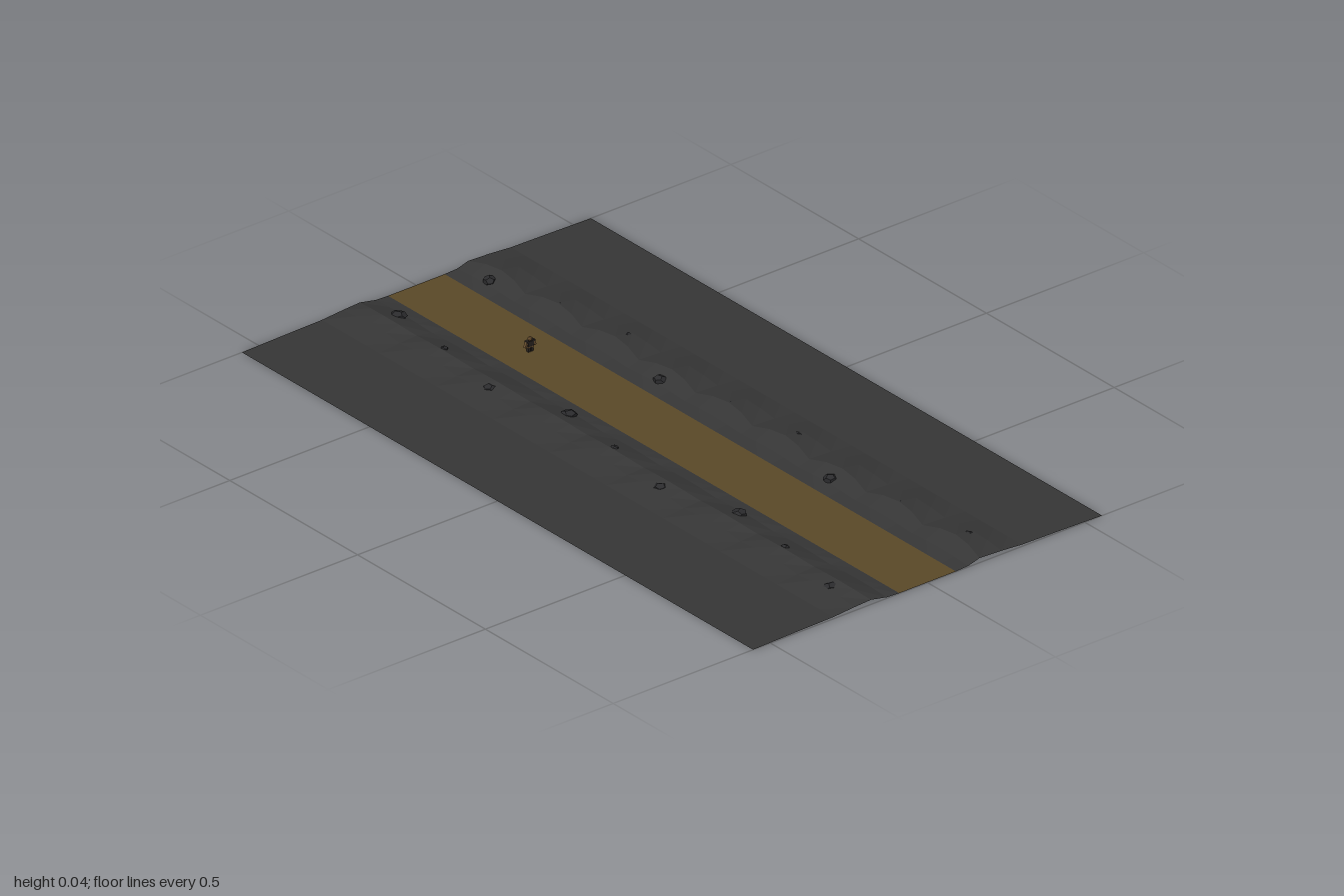
import * as THREE from 'three';

const mat = (name, color, side = THREE.FrontSide) => {
  const m = new THREE.MeshStandardMaterial({ color, flatShading: true, side });
  m.name = name;
  return m;
};

export function createModel() {
  const group = new THREE.Group();
  const ground = mat('charcoal ground', 0x363636, THREE.DoubleSide);
  const dirt = mat('brown dirt', 0x5b4928, THREE.DoubleSide);
  const stone = mat('dark stone', 0x2b2b2d);
  const cloth = mat('dark cloth', 0x2a2420);
  const leather = mat('tan leather', 0x6a5030);

  const add = (name, geometry, material, x, y, z, parent = group) => {
    const m = new THREE.Mesh(geometry, material);
    m.name = name;
    m.position.set(x, y, z);
    parent.add(m);
    return m;
  };

  // Ground on each side: cross-sections with scalloped ridges along the path
  const STEP = 2 / 9;
  const bank = (side) => {
    const rows = 36, cols = 7, pos = [], idx = [];
    for (let r = 0; r <= rows; r++) {
      const z = -1 + (2 * r) / rows;
      const wave = Math.abs(Math.cos((Math.PI * z) / STEP));
      const h = 0.013 + 0.015 * wave;
      const crest = (side < 0 ? 0.195 : 0.18) - 0.015 * (1 - wave);
      const section = [[0.09, 0.001], [0.13, 0.003 + 0.004 * wave], [crest, h],
        [0.235, 0.010 + 0.009 * wave], [0.3, 0.005], [0.42, 0.003], [0.555, 0]];
      section.forEach(([x, y]) => pos.push(side * x, y, z));
    }
    for (let r = 0; r < rows; r++) {
      for (let c = 0; c < cols - 1; c++) {
        const a = r * cols + c, b = a + 1, d = a + cols, e = d + 1;
        if (side > 0) idx.push(a, d, b, b, d, e);
        else idx.push(a, b, d, b, e, d);
      }
    }
    const g = new THREE.BufferGeometry();
    g.setAttribute('position', new THREE.Float32BufferAttribute(pos, 3));
    g.setIndex(idx);
    g.computeVertexNormals();
    return g;
  };
  add('leftBank', bank(1), ground, 0, 0, 0);
  add('rightBank', bank(-1), ground, 0, 0, 0);

  // Flat path down the middle
  add('path', new THREE.PlaneGeometry(0.18, 2).rotateX(-Math.PI / 2), dirt, 0, 0.001, 0);

  // Half-buried rocks: one per ridge on each side, in a repeating set of three
  const rock = new THREE.DodecahedronGeometry(1, 0);
  const kinds = {
    '-1': [[0.148, 0.023, 0.012], [0.183, 0.012, 0.022], [0.217, 0.021, 0.016]],
    '1': [[0.142, 0.019, 0.012], [0.185, 0.010, 0.021], [0.220, 0.013, 0.015]],
  };
  for (const side of [-1, 1]) {
    for (let i = 0; i < 9; i++) {
      const [x, r, y] = kinds[side][i % 3];
      const m = add('rock', rock, stone, side * x, y, (i - 4) * STEP);
      m.scale.set(r, Math.min(r * 0.7, 0.012), r * 0.9);
      m.rotation.y = i * 1.3 + side;
    }
  }

  // Tiny walker on the path
  const walker = new THREE.Group();
  walker.name = 'walker';
  walker.position.set(0, 0.001, -0.556);
  group.add(walker);
  const box = (name, w, h, d, m, x, y) =>
    add(name, new THREE.BoxGeometry(w, h, d), m, x, y, 0, walker);
  box('torso', 0.017, 0.016, 0.010, cloth, 0, 0.021);
  box('belt', 0.018, 0.003, 0.011, leather, 0, 0.014);
  add('head', new THREE.IcosahedronGeometry(0.006, 1), leather, 0, 0.035, 0, walker);
  add('hood', new THREE.ConeGeometry(0.0065, 0.006, 6), cloth, 0, 0.038, 0, walker);
  for (const s of [-1, 1]) {
    box('leg', 0.006, 0.013, 0.008, cloth, s * 0.005, 0.0065);
    box('arm', 0.006, 0.017, 0.007, leather, s * 0.0125, 0.022).rotation.z = s * 0.4;
    box('shoulder', 0.008, 0.005, 0.010, cloth, s * 0.009, 0.029);
  }
  return group;
}
